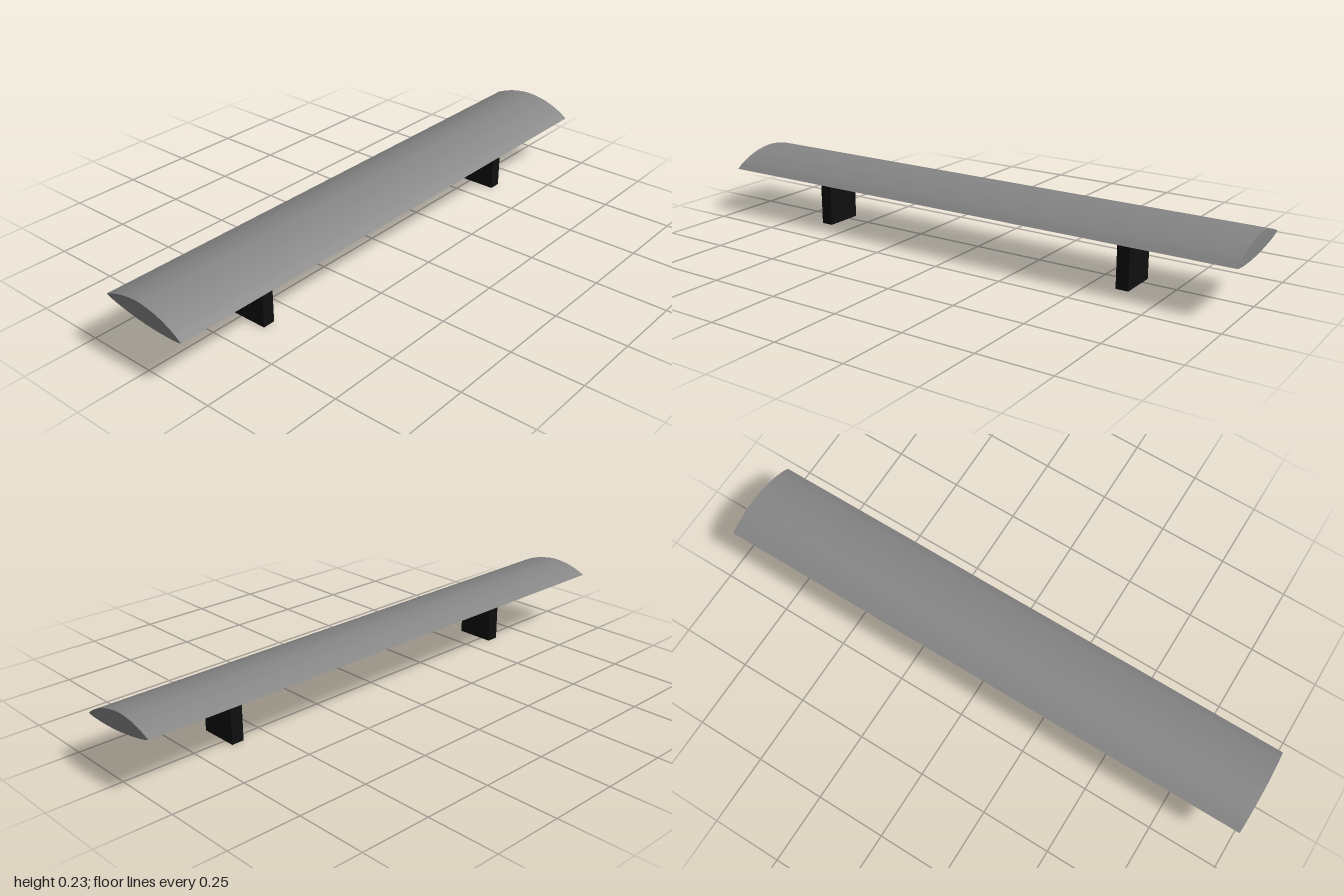
import * as THREE from 'three';
import { toCreasedNormals } from 'three/addons/utils/BufferGeometryUtils.js';

export function createModel() {
  const grey = new THREE.MeshStandardMaterial({ color: 0x868686 });
  grey.name = 'wing grey';
  const black = new THREE.MeshStandardMaterial({ color: 0x0f0f0f });
  black.name = 'support black';
  const model = new THREE.Group();
  model.name = 'rearWing';

  // Airfoil outline as [z, y]: lower skin front to back, upper skin back to front
  const points = (list) => list.map(([z, y]) => new THREE.Vector2(-z, y));
  const lower = points([[0.16, 0.167], [0.135, 0.1635], [0.1, 0.162], [0.046, 0.163],
    [-0.025, 0.169], [-0.114, 0.184], [-0.16, 0.197]]);
  const upper = points([[-0.16, 0.197], [-0.123, 0.212], [-0.079, 0.224], [-0.021, 0.23],
    [0.0375, 0.2225], [0.082, 0.21], [0.13, 0.188], [0.16, 0.167]]);
  const airfoil = new THREE.Shape();
  airfoil.moveTo(lower[0].x, lower[0].y);
  airfoil.splineThru(lower.slice(1));
  airfoil.splineThru(upper.slice(1));

  // Blade spanning the full width
  const bladeGeometry = new THREE.ExtrudeGeometry(airfoil, { depth: 2, bevelEnabled: false, curveSegments: 4 });
  bladeGeometry.translate(0, 0, -1);
  bladeGeometry.rotateY(Math.PI / 2);
  const blade = new THREE.Mesh(toCreasedNormals(bladeGeometry, 0.6), grey);
  blade.name = 'wingBlade';
  model.add(blade);

  // Two upright supports, their tops sunk into the blade
  const supportGeometry = new THREE.BoxGeometry(0.044, 0.175, 0.138);
  for (const side of [-1, 1]) {
    const support = new THREE.Mesh(supportGeometry, black);
    support.name = side > 0 ? 'leftSupport' : 'rightSupport';
    support.position.set(side * 0.61, 0.0875, 0.031);
    model.add(support);
  }
  return model;
}
